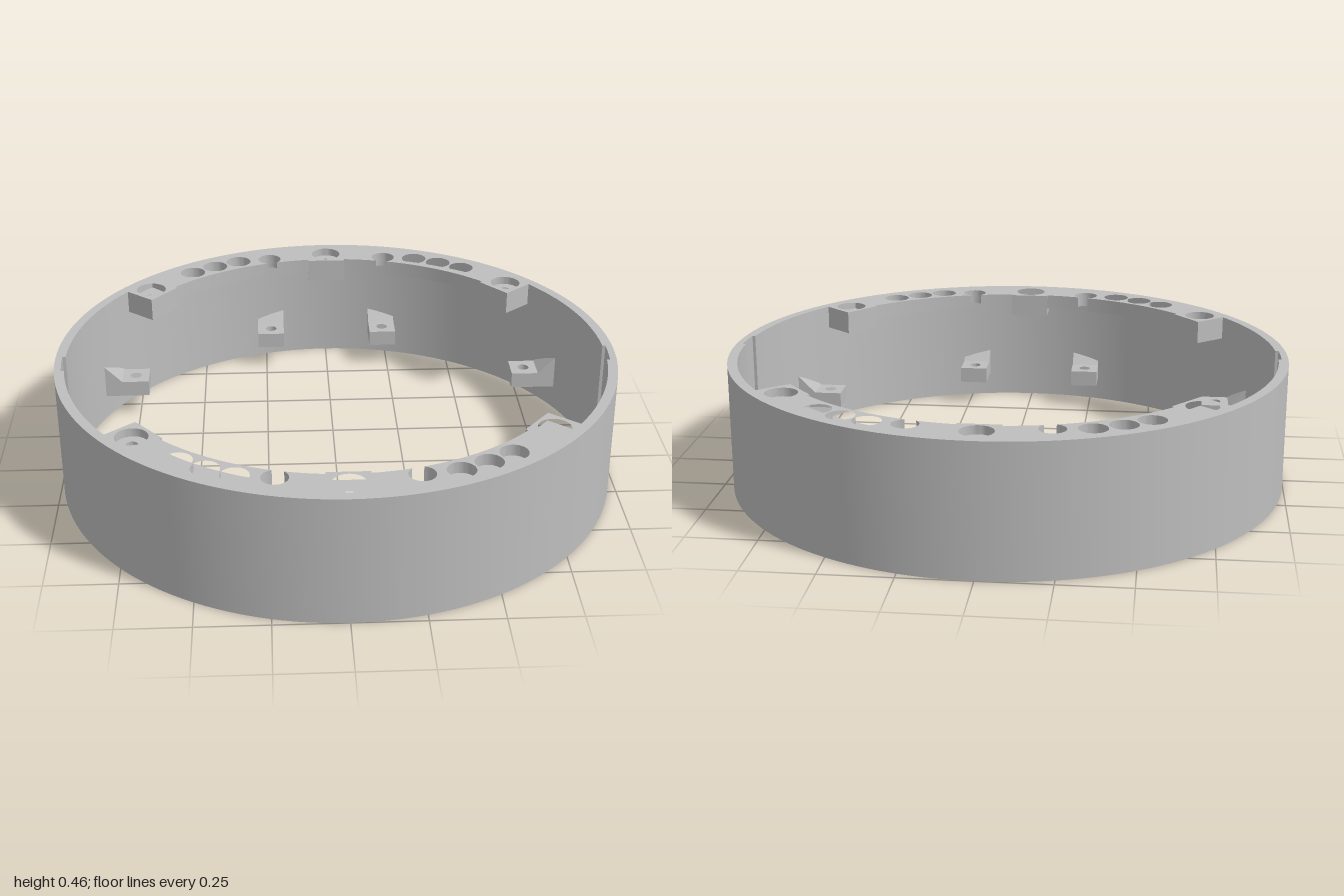
import * as THREE from 'three';
import { toCreasedNormals } from 'three/addons/utils/BufferGeometryUtils.js';
import { ConvexGeometry } from 'three/addons/geometries/ConvexGeometry.js';

const HEIGHT = 0.46, WALL_IN = 0.965, FLANGE_IN = 0.85;
const rad = THREE.MathUtils.degToRad;

export function createModel() {
  const model = new THREE.Group();
  const grey = new THREE.MeshStandardMaterial({ color: 0xbebebe });
  grey.name = 'grey plastic';

  const add = (parent, name, geometry) => {
    const mesh = new THREE.Mesh(geometry, grey);
    mesh.name = name;
    parent.add(mesh);
  };

  // Upright plate from a plan outline of [x, z] points, with round holes [x, z, r]
  const plate = (outline, holes, y0, y1) => {
    const shape = new THREE.Shape(outline.map(([x, z]) => new THREE.Vector2(x, -z)));
    for (const [x, z, r] of holes) {
      shape.holes.push(new THREE.Path().absarc(x, -z, r, 0, Math.PI * 2, true));
    }
    const g = new THREE.ExtrudeGeometry(shape, { depth: y1 - y0, bevelEnabled: false, curveSegments: 20 });
    g.rotateX(-Math.PI / 2).translate(0, y0, 0);
    return toCreasedNormals(g, 0.5);
  };

  // Plan point at a radius and an angle away from the z axis
  const polar = (r, deg) => [r * Math.sin(rad(deg)), r * Math.cos(rad(deg))];
  const arc = (r, from, to, n) =>
    Array.from({ length: n + 1 }, (_, i) => polar(r, from + ((to - from) * i) / n));

  // Outer wall, with a shallow vertical groove inside at each side
  const ringShape = new THREE.Shape(arc(1, 0, 357.5, 143).map(([x, z]) => new THREE.Vector2(x, -z)));
  const inner = [
    ...arc(WALL_IN, -84, 84, 66), ...arc(0.976, 84, 90.5, 3),
    ...arc(WALL_IN, 90.5, 269.5, 70), ...arc(0.976, 269.5, 276, 3),
  ];
  ringShape.holes.push(new THREE.Path(inner.map(([x, z]) => new THREE.Vector2(x, -z))));
  const wall = new THREE.ExtrudeGeometry(ringShape, { depth: HEIGHT, bevelEnabled: false });
  wall.rotateX(-Math.PI / 2);
  add(model, 'outerWall', toCreasedNormals(wall, 0.5));

  // Screw boss: square block, counterbored above and below
  const boss = (deg, sx, sz) => {
    const group = new THREE.Group();
    group.name = 'screwBoss';
    const c = Math.cos(rad(deg)), s = Math.sin(rad(deg));
    const at = (r, t) => [sx * (r * s + t * c), sz * (r * c - t * s)];
    const outline = [at(0.836, -0.072), at(0.836, 0.072), at(0.97, 0.072), at(0.97, -0.072)];
    const layers = [[0.375, 0.4, 0.048], [0.4, 0.43, 0.021], [0.43, HEIGHT, 0.056]];
    for (const [y0, y1, r] of layers) {
      add(group, 'bossLayer', plate(outline, [[...at(0.905, 0), r]], y0, y1));
    }
    model.add(group);
  };

  // Flange between two bosses, with an open access hole and three counterbored holes
  const flange = (sx, sz) => {
    const group = new THREE.Group();
    group.name = 'topFlange';
    const mirror = ([x, z]) => [sx * x, sz * z];
    const hr = 0.89, hole = 0.045, hAng = 15;
    const [hx, hz] = polar(hr, hAng);
    const beta = Math.acos((FLANGE_IN ** 2 - hr ** 2 - hole ** 2) / (2 * hr * hole));
    const slot = Array.from({ length: 25 }, (_, i) => {
      const b = beta - (2 * beta * i) / 24 + rad(hAng);
      return [hx + hole * Math.sin(b), hz + hole * Math.cos(b)];
    });
    const gap = THREE.MathUtils.radToDeg(Math.atan2(hole * Math.sin(beta), FLANGE_IN)) + 0.1;
    const outline = [
      ...arc(0.975, 4, 46, 24), ...arc(FLANGE_IN, 46, hAng + gap, 14),
      ...slot, ...arc(FLANGE_IN, hAng - gap, 4.5, 5),
    ].map(mirror);
    for (const [y0, y1, r] of [[0.405, 0.42, 0.02], [0.42, HEIGHT, 0.048]]) {
      const holes = [22.9, 29.4, 35.9].map((a) => [...mirror(polar(0.913, a)), r]);
      add(group, 'flangeLayer', plate(outline, holes, y0, y1));
    }
    model.add(group);
  };

  // Low mounting lug: drilled block plus a 45 degree ramp running into the wall
  const lug = (alongX, u0, u1, t0, t1, sx, sz) => {
    const group = new THREE.Group();
    group.name = 'mountingLug';
    const y0 = 0.09, y1 = 0.15;
    const at = (u, t) => (alongX ? [sx * u, sz * t] : [sx * t, sz * u]);
    const outline = [at(u0, t0), at(u1, t0), at(u1, t1), at(u0, t1)];
    const hole = [...at((u0 + u1) / 2, (t0 + t1) / 2), 0.022];
    add(group, 'lugBlock', plate(outline, [hole], y0, y1));
    const corners = [];
    for (const t of [t0, t1]) {
      const end = Math.sqrt(0.98 ** 2 - t * t);
      for (const [u, y] of [[u1, y0], [u1, y1], [end, y0], [end, y1 + end - u1]]) {
        const [x, z] = at(u, t);
        corners.push(new THREE.Vector3(x, y, z));
      }
    }
    add(group, 'lugRamp', new ConvexGeometry(corners));
    model.add(group);
  };

  for (const sz of [1, -1]) {
    boss(0, 1, sz);
    for (const sx of [1, -1]) {
      boss(49.9, sx, sz);
      flange(sx, sz);
      lug(true, 0.71, 0.812, 0.403, 0.513, sx, sz);
      lug(false, 0.806, 0.908, 0.177, 0.283, sx, sz);
    }
  }
  return model;
}
